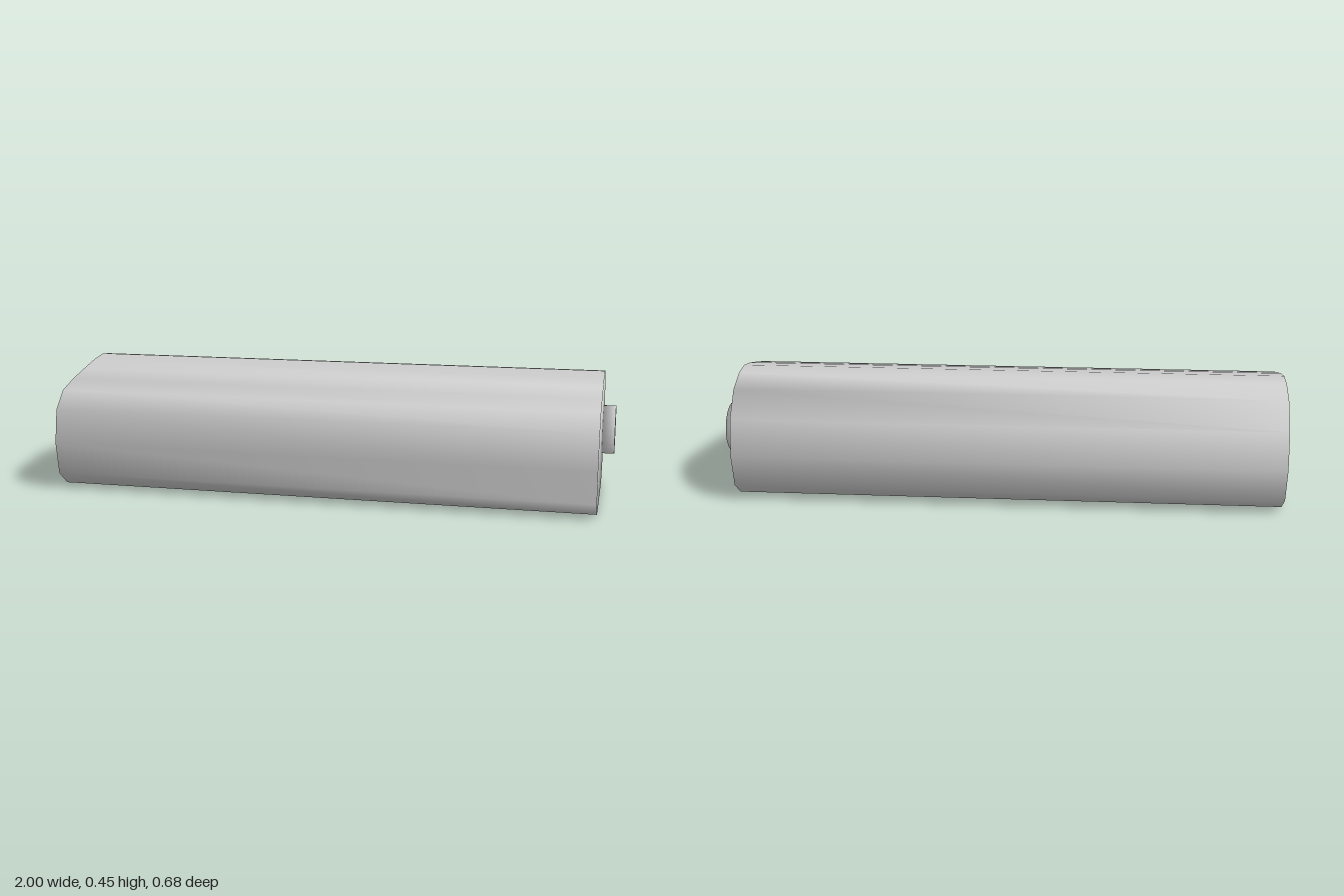
import * as THREE from 'three';
import { mergeGeometries, mergeVertices } from 'three/addons/utils/BufferGeometryUtils.js';

const LEFT_END = 0.955, RIGHT_END = -1;

// body cross-section as [z, y], running from the front over the top to the back
const section = [
  [0.34, 0.175], [0.32, 0.297], [0.26, 0.361], [0.17, 0.39], [0.07, 0.415], [-0.02, 0.436],
  [-0.1, 0.448], [-0.17, 0.439], [-0.25, 0.398], [-0.315, 0.308], [-0.34, 0.175],
  [-0.315, 0.058], [-0.25, 0.008], [-0.17, 0], [0.17, 0], [0.26, 0.008], [0.32, 0.058],
];

function circle(z, y, r, n = 20) {
  return Array.from({ length: n }, (_, i) => {
    const a = (i / n) * Math.PI * 2;
    return [z + r * Math.cos(a), y + r * Math.sin(a)];
  });
}

// wall between two equal-length rings at different x
function loft(ringA, xA, ringB, xB) {
  const pos = [];
  ringA.forEach((a, i) => {
    const j = (i + 1) % ringA.length;
    const p = [xA, a[1], a[0]], q = [xB, ringB[i][1], ringB[i][0]];
    const r = [xA, ringA[j][1], ringA[j][0]], s = [xB, ringB[j][1], ringB[j][0]];
    pos.push(...p, ...q, ...r, ...q, ...s, ...r);
  });
  const g = new THREE.BufferGeometry();
  g.setAttribute('position', new THREE.Float32BufferAttribute(pos, 3));
  return g;
}

// flat end facing +x (side 1) or -x (side -1), with an optional hole
function cap(ring, x, side, hole) {
  const toPoints = (r) => r.map(([z, y]) => new THREE.Vector2(-side * z, y));
  const shape = new THREE.Shape(toPoints(ring));
  if (hole) shape.holes.push(new THREE.Path(toPoints(hole)));
  return new THREE.ShapeGeometry(shape).rotateY(side * Math.PI / 2).translate(x, 0, 0);
}

// join pieces and share normals across every edge
function weld(pieces) {
  const bare = pieces.map((p) => {
    const g = p.index ? p.toNonIndexed() : p;
    g.deleteAttribute('normal');
    g.deleteAttribute('uv');
    return g;
  });
  const g = mergeVertices(mergeGeometries(bare), 1e-4);
  g.computeVertexNormals();
  return g;
}

export function createModel() {
  const group = new THREE.Group();
  const material = new THREE.MeshStandardMaterial({ color: 0xcccccc });
  const add = (name, geometry) => {
    const mesh = new THREE.Mesh(geometry, material);
    mesh.name = name;
    group.add(mesh);
  };

  // long body with a shallow round pocket in its right end
  const rim = circle(-0.035, 0.19, 0.135), floor = circle(-0.035, 0.19, 0.12);
  const floorX = RIGHT_END + 0.025;
  add('body', weld([
    loft(section, RIGHT_END, section, LEFT_END),
    cap(section, LEFT_END, 1),
    cap(section, RIGHT_END, -1, rim),
    loft(floor, floorX, rim, RIGHT_END),
  ]));
  add('pocketFloor', cap(floor, floorX, -1));

  // round button on the left end
  const button = new THREE.CylinderGeometry(0.089, 0.089, 1 - LEFT_END, 20);
  button.rotateZ(-Math.PI / 2).translate((1 + LEFT_END) / 2, 0.225, -0.144);
  add('button', weld([button]));

  return group;
}
